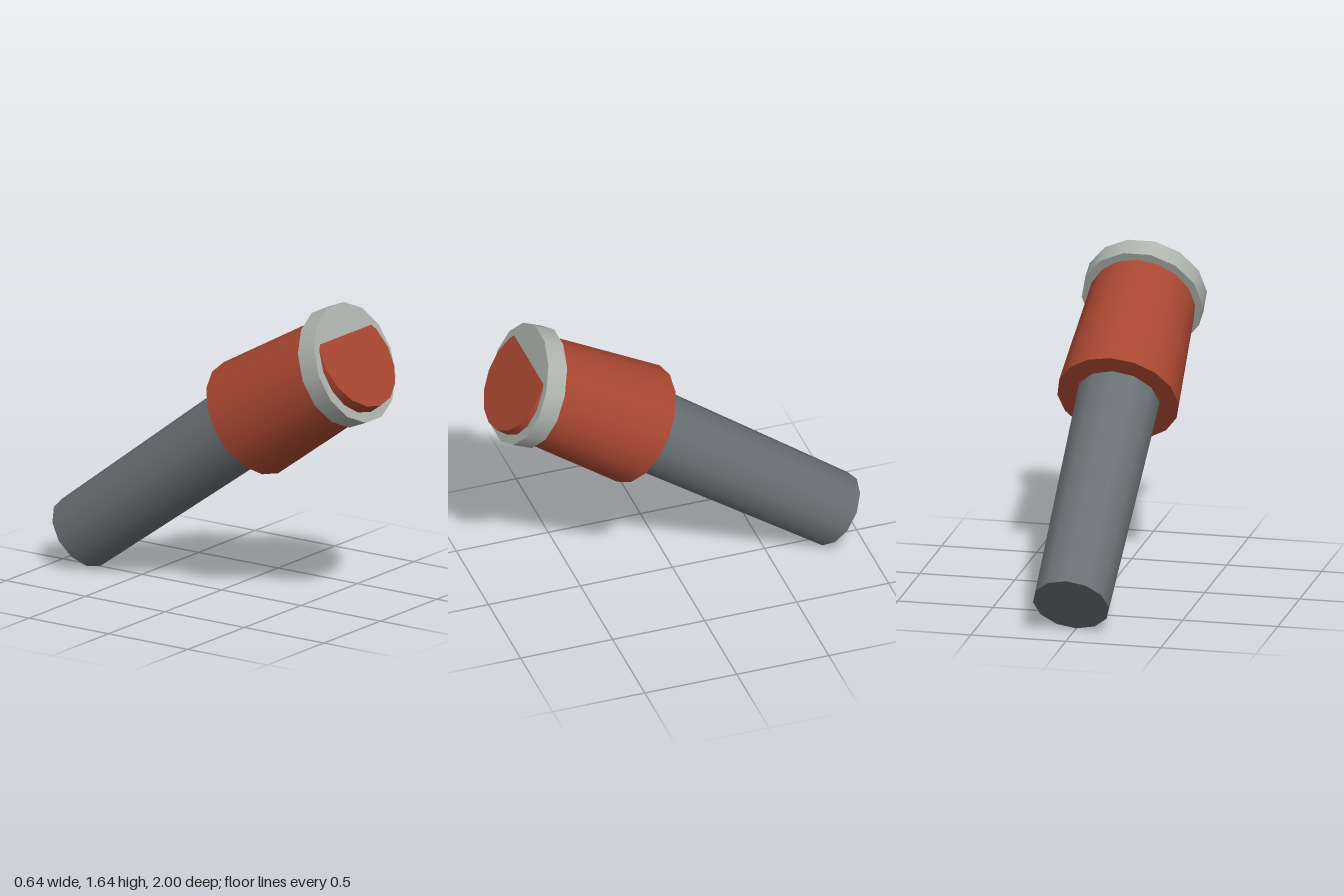
import * as THREE from 'three';

const material = (name, color) => {
  const m = new THREE.MeshStandardMaterial({ color });
  m.name = name;
  return m;
};

export function createModel() {
  const model = new THREE.Group();
  model.name = 'model';
  const red = material('brick red', 0xa94731);
  const darkGrey = material('slate grey', 0x697174);
  const lightGrey = material('light grey', 0xafb4af);

  // Tapered cylinder pointing forward and up by `pitch` degrees; `turn` offsets its facets
  function barrel(name, mat, rFront, rBack, length, sides, y, z, pitch, turn = 0) {
    const geo = new THREE.CylinderGeometry(rFront, rBack, length, sides);
    geo.rotateY(turn);
    const mesh = new THREE.Mesh(geo, mat);
    mesh.name = name;
    mesh.position.set(0, y, z);
    mesh.rotation.x = THREE.MathUtils.degToRad(90 - pitch);
    model.add(mesh);
  }

  // Long shaft, running into the back of the sleeve
  barrel('shaft', darkGrey, 0.22, 0.2, 1.38, 12, 0.574, -0.326, 36.3);
  // Sleeve, widest at the back
  barrel('sleeve', red, 0.27, 0.318, 0.794, 16, 1.168, 0.52, 32.55);
  // Collar disc, tilted so the sleeve's front pokes out below
  barrel('collar', lightGrey, 0.318, 0.318, 0.11, 14, 1.337, 0.788, 22.6, Math.PI / 14);

  return model;
}
